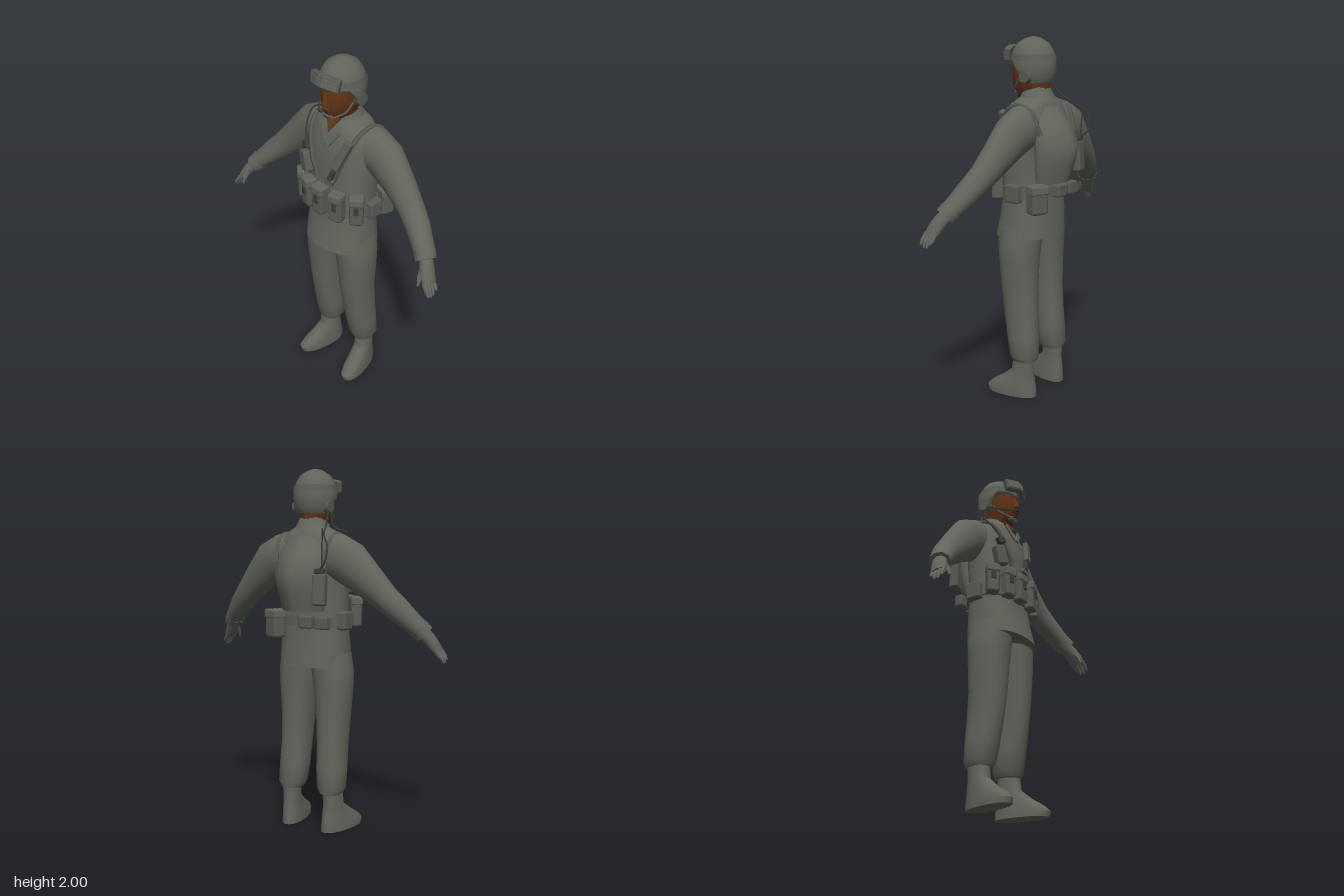
import * as THREE from 'three';
import { toCreasedNormals } from 'three/addons/utils/BufferGeometryUtils.js';
import { RoundedBoxGeometry } from 'three/addons/geometries/RoundedBoxGeometry.js';

const material = (name, color, side = THREE.FrontSide) => {
  const m = new THREE.MeshStandardMaterial({ color, side });
  m.name = name;
  return m;
};

// Skin over elliptical sections [x, y, z, ru, rv]; flat keeps every section level.
function loft(sections, { flat = false, n = 18, power = 2, crease = 0.9 } = {}) {
  const pos = [], index = [], c = sections.map(s => new THREE.Vector3(s[0], s[1], s[2]));
  const last = c.length - 1;
  c.forEach((p, k) => {
    const t = flat ? new THREE.Vector3(0, 1, 0)
      : c[Math.min(k + 1, last)].clone().sub(c[Math.max(k - 1, 0)]).normalize();
    const v = new THREE.Vector3(0, 0, 1);
    v.addScaledVector(t, -v.dot(t)).normalize();
    const u = t.clone().cross(v);
    for (let i = 0; i < n; i++) {
      const a = i / n * Math.PI * 2, co = Math.cos(a), si = Math.sin(a);
      const cu = Math.sign(co) * Math.abs(co) ** (2 / power) * sections[k][3];
      const cv = Math.sign(si) * Math.abs(si) ** (2 / power) * sections[k][4];
      pos.push(...p.clone().addScaledVector(u, cu).addScaledVector(v, cv).toArray());
    }
  });
  pos.push(...c[0].toArray(), ...c[last].toArray());
  const bottom = n * c.length, top = bottom + 1;
  for (let i = 0; i < n; i++) {
    const j = (i + 1) % n;
    for (let k = 0; k < last; k++) {
      const a = k * n + i, b = k * n + j;
      index.push(a, a + n, b, b, a + n, b + n);
    }
    index.push(bottom, i, j, top, last * n + j, last * n + i);
  }
  const g = new THREE.BufferGeometry();
  g.setAttribute('position', new THREE.Float32BufferAttribute(pos, 3));
  g.setIndex(index);
  return toCreasedNormals(g, crease);
}

// Level section from its back and front z.
const slab = (x, y, back, front, rx) => [x, y, (back + front) / 2, rx, (front - back) / 2];

export function createModel() {
  const root = new THREE.Group();
  root.name = 'soldier';
  const cloth = material('fatigue grey', 0x62655c, THREE.DoubleSide);
  const gear = material('gear grey', 0x5a5d56);
  const dark = material('dark rubber', 0x3c3e3a);
  const skin = material('brown skin', 0x623518);

  const add = (name, geo, mat, parent = root) => {
    const m = new THREE.Mesh(geo, mat);
    m.name = name;
    parent.add(m);
    return m;
  };
  const box = (name, size, at, rot = [0, 0, 0], mat = gear, parent = root) => {
    const m = add(name, new RoundedBoxGeometry(...size, 1, Math.min(...size) * 0.22), mat, parent);
    m.position.set(...at);
    m.rotation.set(...rot);
    return m;
  };
  const cord = (name, pts, r, mat = gear) => add(name, new THREE.TubeGeometry(
    new THREE.CatmullRomCurve3(pts.map(p => new THREE.Vector3(...p))), 20, r, 5), mat);

  // Jacket body with flared hem
  add('jacket', loft([
    slab(0.005, 0.93, -0.11, 0.22, 0.2), slab(0, 1.05, -0.1, 0.19, 0.197),
    slab(0, 1.2, -0.09, 0.165, 0.19), slab(0, 1.4, -0.1, 0.165, 0.2),
    slab(0, 1.53, -0.11, 0.155, 0.2), slab(0, 1.61, -0.1, 0.135, 0.185),
    slab(0, 1.66, -0.085, 0.115, 0.14), slab(0, 1.69, -0.065, 0.09, 0.085),
  ], { flat: true, power: 2.5, n: 28 }), cloth);

  // Peaked bulge on the back
  add('backPack', loft([
    slab(0, 1.24, -0.185, 0.02, 0.13), slab(0, 1.34, -0.215, 0.02, 0.15),
    slab(0, 1.44, -0.238, 0.02, 0.16), slab(0, 1.54, -0.185, 0.02, 0.15),
    slab(0, 1.64, -0.105, 0.02, 0.11),
  ], { flat: true, power: 1.5, n: 24 }), cloth);

  // Standing collar, higher behind, with the open neck
  const collarGeo = new THREE.LatheGeometry([[0.115, 1.645], [0.095, 1.685], [0.08, 1.72]]
    .map(p => new THREE.Vector2(...p)), 20, 0.35, Math.PI * 2 - 0.7);
  const cp = collarGeo.attributes.position;
  for (let i = 0; i < cp.count; i++) {
    cp.setY(i, cp.getY(i) - cp.getZ(i) * 0.3);
    cp.setZ(i, cp.getZ(i) * 0.92 + 0.025);
  }
  collarGeo.computeVertexNormals();
  add('collar', collarGeo, cloth);
  const vee = new THREE.Shape([[-0.05, 0.06], [0, -0.03], [0.05, 0.06]].map(p => new THREE.Vector2(...p)));
  const neckline = add('openNeck', new THREE.ExtrudeGeometry(vee, { depth: 0.006, bevelEnabled: false }), skin);
  neckline.position.set(0, 1.645, 0.128);
  neckline.rotation.x = -0.5;

  // Arms, hands, legs and boots, mirrored
  for (const s of [1, -1]) {
    const side = s > 0 ? 'left' : 'right';
    const flip = list => list.map(([x, ...rest]) => [x * s, ...rest]);
    add(side + 'Sleeve', loft(flip([
      [0.1, 1.545, -0.005, 0.115, 0.09], [0.17, 1.53, -0.008, 0.125, 0.097], [0.25, 1.495, -0.01, 0.12, 0.09],
      [0.365, 1.395, 0.005, 0.092, 0.075], [0.45, 1.315, 0.022, 0.074, 0.068], [0.52, 1.25, 0.048, 0.066, 0.065],
      [0.58, 1.19, 0.078, 0.055, 0.06], [0.625, 1.145, 0.104, 0.05, 0.055],
    ])), cloth);
    add(side + 'Cuff', loft(flip([[0.605, 1.165, 0.093, 0.056, 0.06], [0.635, 1.13, 0.112, 0.054, 0.058]]), { n: 10 }), cloth);
    add(side + 'Palm', loft(flip([
      [0.62, 1.15, 0.102, 0.034, 0.036], [0.655, 1.105, 0.128, 0.034, 0.044],
      [0.685, 1.06, 0.148, 0.026, 0.045], [0.7, 1.035, 0.155, 0.018, 0.042],
    ]), { n: 10 }), cloth);
    for (let f = 0; f < 4; f++) {
      const z = 0.124 + f * 0.021, drop = [0.02, 0, 0, 0.012][f];
      add(side + 'Finger', loft(flip([
        [0.69, 1.05, z, 0.014, 0.013], [0.715, 1.015, z + 0.006, 0.012, 0.012],
        [0.728, 0.98 + drop, z + 0.01, 0.005, 0.006],
      ]), { n: 6 }), cloth);
    }
    add(side + 'Thumb', loft(flip([
      [0.645, 1.11, 0.145, 0.016, 0.018], [0.652, 1.065, 0.178, 0.014, 0.014], [0.657, 1.025, 0.195, 0.006, 0.006],
    ]), { n: 6 }), cloth);

    add(side + 'TrouserLeg', loft(flip([
      slab(0.13, 0.215, -0.065, 0.075, 0.062), slab(0.13, 0.245, -0.072, 0.088, 0.079),
      slab(0.124, 0.35, -0.07, 0.11, 0.082), slab(0.12, 0.48, -0.064, 0.135, 0.079),
      slab(0.117, 0.62, -0.056, 0.152, 0.087), slab(0.115, 0.8, -0.058, 0.163, 0.104),
      slab(0.108, 0.9, -0.065, 0.17, 0.112), slab(0.095, 1.0, -0.07, 0.17, 0.105),
    ]), { flat: true, power: 2.3, n: 20 }), cloth);

    const boot = add(side + 'Boot', loft([
      slab(0, 0, -0.07, 0.228, 0.06), slab(0, 0.03, -0.07, 0.235, 0.06), slab(0, 0.06, -0.066, 0.205, 0.057),
      slab(0, 0.1, -0.06, 0.14, 0.052), slab(0, 0.15, -0.052, 0.078, 0.047), slab(0, 0.25, -0.056, 0.064, 0.05),
    ], { flat: true, power: 2.3, crease: 0.7 }), cloth);
    boot.position.set(0.137 * s, 0, 0);
    boot.rotation.y = 0.2 * s;
  }

  // Head
  add('head', loft([
    slab(0, 1.6, -0.045, 0.075, 0.06), slab(0, 1.685, -0.05, 0.085, 0.062), slab(0, 1.7, -0.05, 0.135, 0.058),
    slab(0, 1.73, -0.055, 0.157, 0.072), slab(0, 1.78, -0.06, 0.16, 0.085),
    slab(0, 1.84, -0.06, 0.16, 0.09), slab(0, 1.92, -0.05, 0.15, 0.088),
  ], { flat: true, power: 2.2 }), skin);
  add('nose', loft([
    [0, 1.782, 0.158, 0.02, 0.024], [0, 1.797, 0.16, 0.015, 0.026], [0, 1.845, 0.153, 0.008, 0.012],
  ], { flat: true, n: 8 }), skin);
  box('lips', [0.045, 0.014, 0.012], [0, 1.757, 0.159], [0, 0, 0], skin);
  box('chinCup', [0.06, 0.026, 0.04], [0, 1.712, 0.135], [0.25, 0, 0], gear);

  // Helmet: turned shell whose rim lifts over the face
  const shell = new THREE.LatheGeometry([[0.098, 1.76], [0.113, 1.79], [0.12, 1.84], [0.117, 1.88],
    [0.105, 1.925], [0.08, 1.965], [0.04, 1.99], [0, 2]].map(p => new THREE.Vector2(...p)), 24);
  const hp = shell.attributes.position;
  for (let i = 0; i < hp.count; i++) {
    const x = hp.getX(i), y = hp.getY(i), z = hp.getZ(i);
    const rim = THREE.MathUtils.lerp(1.76, 1.862, THREE.MathUtils.smoothstep(z, -0.02, 0.06));
    hp.setXYZ(i, x, Math.max(y, rim + (y - 1.76) * 0.1), z * 1.06 + 0.04);
  }
  shell.computeVertexNormals();
  add('helmet', shell, cloth);
  for (const s of [1, -1]) {
    const cup = add('earCup', new THREE.CylinderGeometry(0.032, 0.04, 0.035, 10), gear);
    cup.position.set(0.1 * s, 1.795, 0.015);
    cup.rotation.z = -Math.PI / 2 * s;
    cord('chinStrap', [[0.093 * s, 1.79, 0.06], [0.078 * s, 1.74, 0.1], [0.03 * s, 1.708, 0.148]], 0.006);
  }

  // Goggles pushed up on the helmet, with band
  for (const s of [1, -1]) {
    box('goggleFrame', [0.1, 0.068, 0.035], [0.045 * s, 1.912, 0.168], [-0.15, 0.42 * s, -0.12 * s]);
    box('goggleLens', [0.082, 0.046, 0.008], [0.05 * s, 1.912, 0.185], [-0.15, 0.42 * s, -0.12 * s], cloth);
  }
  const band = add('goggleBand', new THREE.CylinderGeometry(0.113, 0.121, 0.035, 24, 1, true), gear);
  band.position.set(0, 1.893, 0.038);
  band.scale.z = 1.06;

  // Belt and front pouches
  add('belt', loft([slab(0, 1.155, -0.105, 0.185, 0.205), slab(0, 1.21, -0.102, 0.178, 0.202)],
    { flat: true, power: 2.5, n: 28 }), gear);
  const pouches = [[-0.2, 0.07, 0.135, -0.75], [-0.115, 0.07, 0.178, -0.3], [-0.02, 0.078, 0.192, 0],
    [0.095, 0.078, 0.186, 0.2], [0.19, 0.075, 0.14, 0.7]];
  for (const [x, w, z, turn] of pouches) {
    const g = new THREE.Group();
    g.name = 'frontPouch';
    g.position.set(x, 1.225, z);
    g.rotation.y = turn;
    root.add(g);
    box('pouchBody', [w, 0.165, 0.065], [0, 0, 0], [0, 0, 0], gear, g);
    box('pouchFlap', [w + 0.006, 0.05, 0.07], [0, 0.062, 0.003], [0, 0, 0], cloth, g);
    box('pouchTab', [0.026, 0.05, 0.008], [0, 0.015, 0.036], [0, 0, 0], dark, g);
  }
  for (const s of [1, -1]) box('hipPouch', [0.06, 0.1, 0.09], [0.2 * s, 1.185, 0.02]);
  box('rearPouch', [0.1, 0.155, 0.08], [0.165, 1.16, -0.11], [0, -0.35, 0]);
  box('rearPouchFlap', [0.104, 0.05, 0.084], [0.165, 1.215, -0.111], [0, -0.35, 0], cloth);
  for (const x of [-0.14, -0.04]) box('beltPouch', [0.085, 0.07, 0.05], [x, 1.18, -0.11]);

  // Chest straps and attached kit
  for (const s of [1, -1]) {
    cord('shoulderStrap', [[0.15 * s, 1.5, -0.12], [0.165 * s, 1.62, -0.07], [0.16 * s, 1.652, 0.01],
      [0.15 * s, 1.61, 0.105], [0.1 * s, 1.46, 0.165], [0.06 * s, 1.36, 0.172]], 0.013);
  }
  box('sheath', [0.044, 0.18, 0.03], [0.11, 1.53, 0.163], [-0.2, 0.2, -0.36]);
  box('sheathTip', [0.028, 0.1, 0.024], [0.065, 1.42, 0.183], [-0.15, 0.1, -0.4], dark);
  box('buckle', [0.055, 0.03, 0.028], [0.045, 1.365, 0.185], [0, 0, -0.3]);
  box('chestPouch', [0.07, 0.115, 0.05], [-0.155, 1.39, 0.155], [0, -0.35, 0.25]);
  box('chestTab', [0.05, 0.04, 0.03], [-0.15, 1.49, 0.155], [-0.1, -0.3, 0.4], dark);
  for (const s of [1, -1]) box('lapel', [0.03, 0.11, 0.008], [0.035 * s, 1.6, 0.15], [-0.25, 0.1 * s, -0.6 * s], cloth);

  // Radio with aerial and cables
  box('radio', [0.075, 0.17, 0.055], [-0.15, 1.36, -0.15], [0.05, 0.2, 0]);
  box('radioTop', [0.055, 0.03, 0.04], [-0.15, 1.455, -0.15], [0.05, 0.2, 0], dark);
  cord('aerial', [[-0.165, 1.45, -0.155], [-0.17, 1.56, -0.16], [-0.18, 1.68, -0.172]], 0.004, dark);
  cord('headsetCable', [[-0.11, 1.78, 0], [-0.12, 1.7, -0.04], [-0.15, 1.65, -0.11],
    [-0.21, 1.58, -0.17], [-0.2, 1.5, -0.185], [-0.15, 1.46, -0.155]], 0.005, dark);
  cord('frontCable', [[-0.11, 1.78, 0.02], [-0.125, 1.69, 0.03], [-0.19, 1.655, 0.06],
    [-0.18, 1.58, 0.12], [-0.13, 1.49, 0.165]], 0.005, dark);
  cord('microphoneBoom', [[-0.1, 1.78, 0.05], [-0.085, 1.745, 0.12], [-0.025, 1.752, 0.182]], 0.004, dark);
  box('microphone', [0.025, 0.016, 0.016], [-0.015, 1.753, 0.182], [0, 0, 0], dark);

  return root;
}
